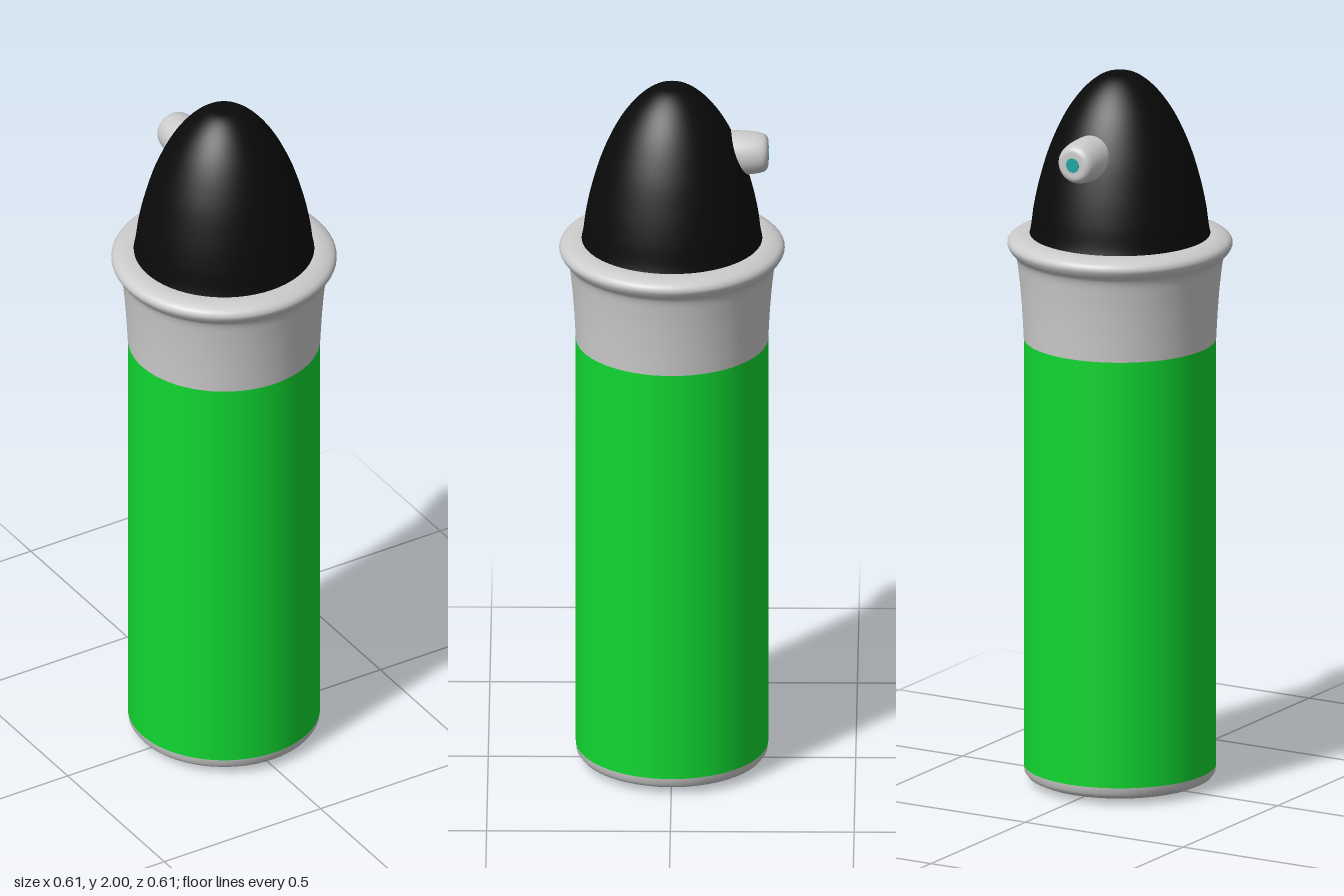
import * as THREE from 'three';

const material = (color) => new THREE.MeshStandardMaterial({ color });
const grey = material(0xcccccc);

// Revolves a profile of [radius, height] points, listed from bottom to top
function turned(name, profile, mat, segments = 64) {
  const points = profile.map(([r, y]) => new THREE.Vector2(r, y));
  const mesh = new THREE.Mesh(new THREE.LatheGeometry(points, segments), mat);
  mesh.name = name;
  return mesh;
}

// Smooths a few [radius, height] points into a rounded profile
function smooth(points, count) {
  const curve = new THREE.CatmullRomCurve3(
    points.map(([r, y]) => new THREE.Vector3(r, y, 0)), false, 'centripetal');
  return curve.getPoints(count).map((p) => [Math.max(p.x, 0), p.y]);
}

export function createModel() {
  const model = new THREE.Group();
  model.name = 'flask';

  // Shallow rounded foot
  model.add(turned('base', [
    [0, 0], [0.12, 0.003], [0.2, 0.008], [0.235, 0.014],
    [0.252, 0.022], [0.26, 0.033], [0.262, 0.05],
  ], grey));

  // Coloured sleeve
  model.add(turned('sleeve', [[0.262, 0.05], [0.262, 1.25]], material(0x10d830)));

  // Flared neck with a rolled rim
  model.add(turned('collar', smooth([
    [0.262, 1.25], [0.267, 1.34], [0.275, 1.43], [0.284, 1.482], [0.3, 1.502],
    [0.307, 1.518], [0.302, 1.531], [0.285, 1.541], [0.262, 1.546], [0.23, 1.546],
  ], 48), grey));

  // Domed cap
  model.add(turned('cap', smooth([
    [0.25, 1.53], [0.243, 1.56], [0.235, 1.62], [0.218, 1.7], [0.187, 1.8],
    [0.138, 1.9], [0.085, 1.965], [0.04, 1.995], [0, 2],
  ], 48), material(0x0a0a0a)));

  // Push button on the back of the cap, with a small coloured dot
  const button = new THREE.Group();
  button.name = 'button';
  button.add(turned('buttonBody', smooth([
    [0.061, 0], [0.06, 0.04], [0.056, 0.075], [0.05, 0.093],
    [0.04, 0.101], [0.025, 0.102], [0, 0.102],
  ], 30), grey, 40));
  const dot = new THREE.Mesh(new THREE.CylinderGeometry(0.02, 0.02, 0.004, 32), material(0x20a5a5));
  dot.name = 'buttonDot';
  dot.position.y = 0.1015;
  button.add(dot);
  button.rotation.x = -Math.PI / 2;
  button.position.set(-0.007, 1.797, -0.16);
  model.add(button);

  return model;
}
